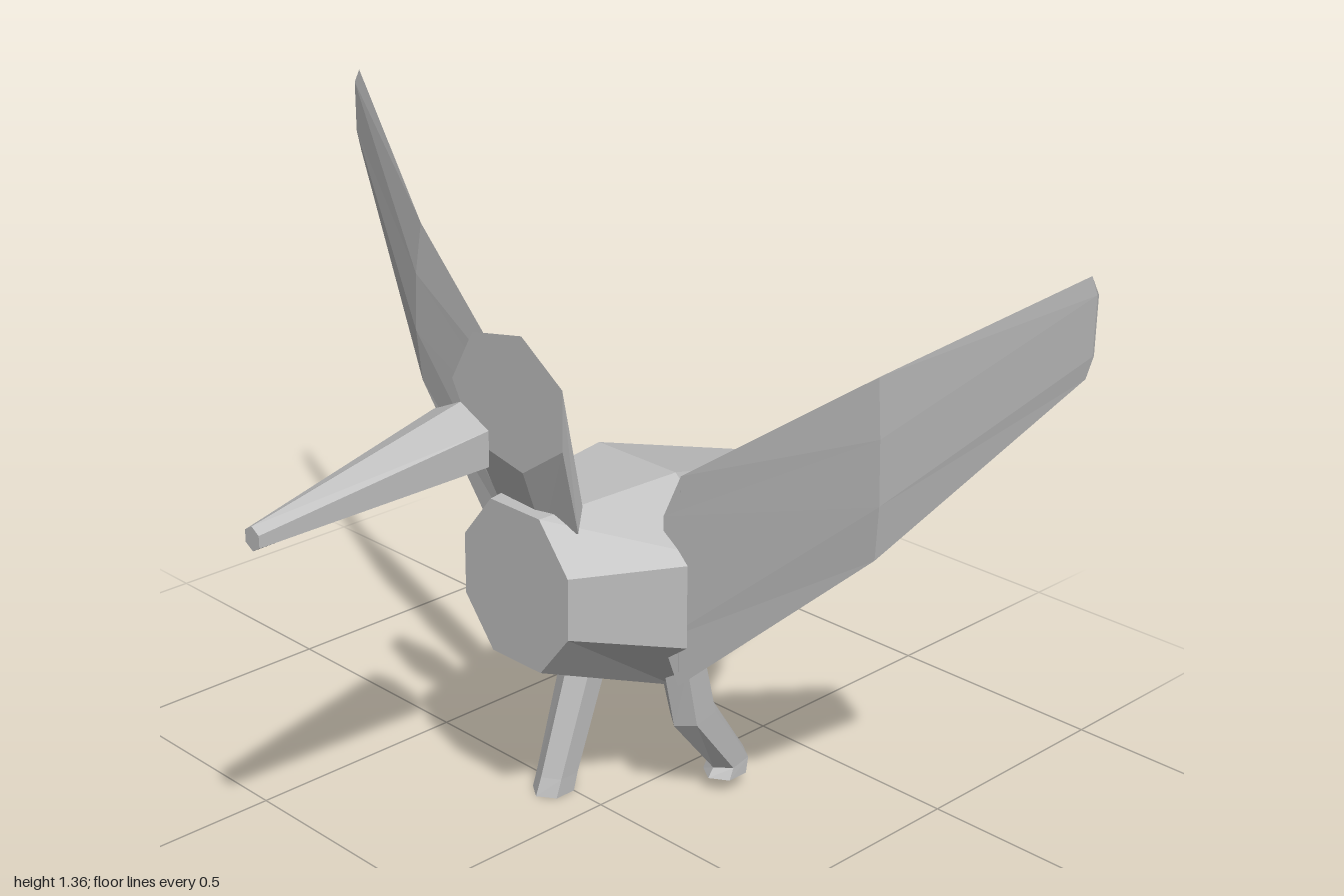
import * as THREE from 'three';

const grey = new THREE.MeshStandardMaterial({ color: 0xbdbdbd, flatShading: true });
grey.name = 'plain grey';

// Closed, faceted skin over a list of rings, each ring an array of [x, y, z]
function loft(name, rings) {
  const tris = [];
  const n = rings[0].length;
  for (let r = 0; r < rings.length - 1; r++) {
    for (let i = 0; i < n; i++) {
      const j = (i + 1) % n;
      const [a, b, c, d] = [rings[r][i], rings[r][j], rings[r + 1][j], rings[r + 1][i]];
      tris.push([a, b, c], [a, c, d]);
    }
  }
  const last = rings[rings.length - 1];
  for (let i = 1; i < n - 1; i++) {
    tris.push([rings[0][0], rings[0][i + 1], rings[0][i]]);
    tris.push([last[0], last[i], last[i + 1]]);
  }
  // Turn all faces outward, using the sign of the enclosed volume
  let volume = 0;
  for (const t of tris) {
    const [a, b, c] = t.map((p) => new THREE.Vector3(...p));
    volume += a.dot(b.cross(c));
  }
  if (volume < 0) tris.forEach((t) => t.reverse());
  const geometry = new THREE.BufferGeometry();
  geometry.setAttribute('position', new THREE.Float32BufferAttribute(tris.flat(2), 3));
  geometry.computeVertexNormals();
  const mesh = new THREE.Mesh(geometry, grey);
  mesh.name = name;
  return mesh;
}

// Upright elliptical ring facing z; lean shifts z with height
function ringZ(n, x, y, z, rx, ry, start = Math.PI / 2, lean = 0) {
  return Array.from({ length: n }, (_, i) => {
    const a = start + (i / n) * Math.PI * 2;
    return [x + rx * Math.cos(a), y + ry * Math.sin(a), z + lean * Math.sin(a)];
  });
}

// Level elliptical ring facing y, for the legs
function ringY(x, y, z, rx, rz, tilt = 0) {
  return Array.from({ length: 6 }, (_, i) => {
    const a = (i / 6) * Math.PI * 2 + Math.PI / 6;
    return [x + rx * Math.cos(a), y + tilt * Math.sin(a), z + rz * Math.sin(a)];
  });
}

// Eight-cornered body section: half widths and four levels
function bodyRing(z, side, flat, top, upper, lower, bottom) {
  const half = [[flat, top], [side, upper], [side, lower], [flat, bottom]];
  const right = half.map(([x, y]) => [x, y, z]);
  const left = half.map(([x, y]) => [-x, y, z]).reverse();
  return [...right, ...left];
}

// Thin six-cornered wing section: four [x, y] points from top to bottom
function wingRing(s, z, thick, points) {
  const at = ([x, y], dz) => [s * x, y, z + dz];
  const [top, upper, lower, bottom] = points;
  return [at(top, 0), at(upper, thick), at(lower, thick),
    at(bottom, 0), at(lower, -thick), at(upper, -thick)];
}

export function createModel() {
  const model = new THREE.Group();
  model.name = 'bird';

  // Body, widest behind the middle
  model.add(loft('body', [
    bodyRing(0.23, 0.15, 0.07, 0.75, 0.65, 0.52, 0.42),
    bodyRing(-0.1, 0.265, 0.11, 0.764, 0.622, 0.424, 0.29),
    bodyRing(-0.45, 0.1, 0.05, 0.667, 0.607, 0.505, 0.46),
  ]));

  // Head and neck, seven-sided, rising to a flat face
  const turn = THREE.MathUtils.degToRad(77);
  model.add(loft('head', [
    ringZ(7, -0.003, 0.745, 0.167, 0.135, 0.062, turn, -0.013),
    ringZ(7, 0, 0.977, 0.24, 0.165, 0.142, turn),
  ]));

  // Beak, set ahead of the face
  model.add(loft('beak', [
    ringZ(6, 0, 0.935, 0.36, 0.09, 0.072),
    ringZ(6, 0.02, 0.89, 0.86, 0.023, 0.024),
  ]));

  // Tail
  model.add(loft('tail', [
    ringZ(6, 0, 0.565, -0.44, 0.112, 0.06),
    ringZ(6, 0.03, 0.69, -0.855, 0.034, 0.04),
  ]));

  // Wings, swept up and back
  for (const s of [1, -1]) {
    model.add(loft(s > 0 ? 'leftWing' : 'rightWing', [
      wingRing(s, -0.008, 0.006, [[0.215, 0.815], [0.175, 0.72], [0.175, 0.45], [0.215, 0.36]]),
      wingRing(s, -0.08, 0.006, [[0.636, 1.115], [0.65, 1.0], [0.655, 0.87], [0.645, 0.757]]),
      wingRing(s, -0.205, 0.002, [[0.985, 1.36], [1, 1.33], [1, 1.22], [0.988, 1.175]]),
    ]));
  }

  // Straight right leg
  model.add(loft('rightLeg', [
    ringY(-0.12, 0.36, -0.085, 0.05, 0.05),
    ringY(-0.12, 0.26, -0.06, 0.05, 0.05),
    ringY(-0.12, 0.04, 0.013, 0.043, 0.047),
    ringY(-0.12, 0, 0.025, 0.043, 0.05),
  ]));

  // Bent left leg, drawn back to the foot
  model.add(loft('leftLeg', [
    ringY(0.125, 0.35, -0.11, 0.05, 0.055, 0.01),
    ringY(0.125, 0.215, -0.145, 0.045, 0.055, -0.012),
    ringY(0.12, 0.065, -0.26, 0.043, 0.045, -0.01),
    ringY(0.12, 0.035, -0.25, 0.045, 0.05),
  ]));

  return model;
}
